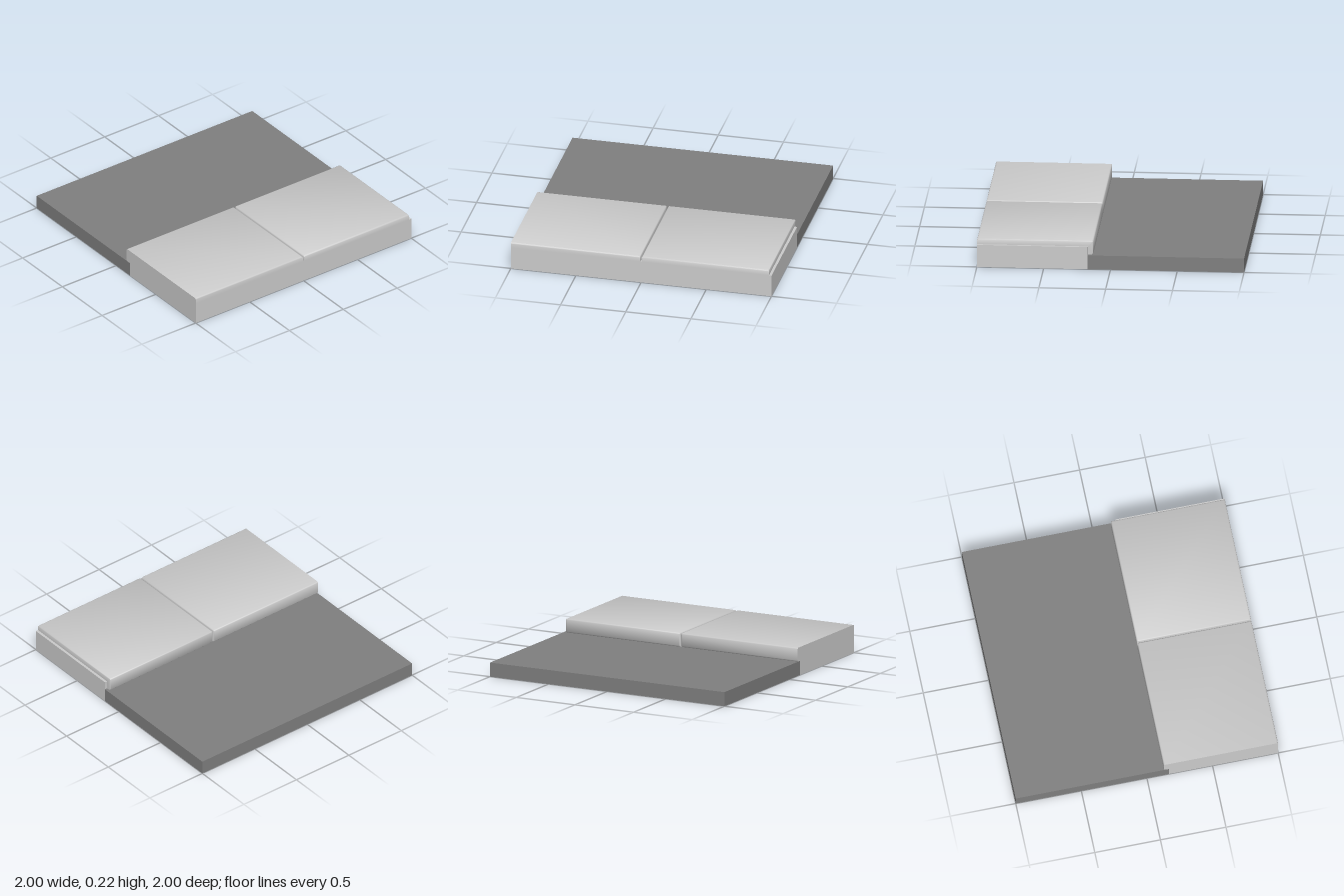
import * as THREE from 'three';
import { toCreasedNormals } from 'three/addons/utils/BufferGeometryUtils.js';

const CURB_Z = 0.17, ROAD_Y = 0.108, BASE_Y = 0.172, TOP_Y = 0.215, LIP_Z = 0.13;

// Skin a grid of points: each row has the same number of points
function loft(rows) {
  const n = rows[0].length, index = [];
  for (let i = 0; i < rows.length - 1; i++) {
    for (let j = 0; j < n - 1; j++) {
      const a = i * n + j, b = a + 1, c = a + n, d = c + 1;
      index.push(a, c, b, b, c, d);
    }
  }
  const geo = new THREE.BufferGeometry();
  geo.setAttribute('position', new THREE.Float32BufferAttribute(rows.flat(2), 3));
  geo.setIndex(index);
  geo.computeVertexNormals();
  return toCreasedNormals(geo, 0.9);
}

// Paving slab: hollow, rounded edges, with a lip hanging over the road
function slabGeometry(x0, x1, bevel0, bevel1) {
  const e = 0.01;
  // [z, y, inward z, inward y, seat z, seat y] from the front, over the top, to under the lip
  const profile = [
    [1, BASE_Y, 0, 0, 1, BASE_Y],
    [1, TOP_Y - e, 0, 0, 1, BASE_Y],
    [1 - e * 0.3, TOP_Y - e * 0.3, -0.3, -0.7, 1, BASE_Y],
    [1 - e, TOP_Y, 0, -1, 1 - e, BASE_Y],
    [LIP_Z + e, TOP_Y, 0, -1, CURB_Z, BASE_Y],
    [LIP_Z + e * 0.3, TOP_Y - e * 0.3, 0.7, -0.7, CURB_Z, BASE_Y],
    [LIP_Z, TOP_Y - e, 1, 0, CURB_Z, BASE_Y],
    [LIP_Z, ROAD_Y + e, 1, 0, CURB_Z, ROAD_Y + e],
    [LIP_Z + e, ROAD_Y, 0, 0, CURB_Z, ROAD_Y],
    [CURB_Z, ROAD_Y, 0, 0, CURB_Z, ROAD_Y],
  ];
  const seat = (x) => profile.map((p) => [x, p[5], p[4]]);
  const ring = (x, inset) => profile.map((p) => [x, p[1] + p[3] * inset, p[0] + p[2] * inset]);
  const rows = [seat(x0), ring(x0, bevel0)];
  if (bevel0) rows.push(ring(x0 + bevel0 * 0.3, bevel0 * 0.3));
  rows.push(ring(x0 + bevel0, 0), ring(x1 - bevel1, 0));
  if (bevel1) rows.push(ring(x1 - bevel1 * 0.3, bevel1 * 0.3));
  rows.push(ring(x1, bevel1), seat(x1));
  return loft(rows);
}

export function createModel() {
  const model = new THREE.Group();
  const stone = new THREE.MeshStandardMaterial({ color: 0xcccccc, side: THREE.DoubleSide });
  const asphalt = new THREE.MeshStandardMaterial({ color: 0x7f7f7f, side: THREE.DoubleSide });

  const add = (name, geo, material, parent) => {
    const mesh = new THREE.Mesh(geo, material);
    mesh.name = name;
    parent.add(mesh);
  };
  // Flat panel from four corners, anticlockwise as seen from outside
  const panel = (name, material, parent, a, b, c, d) =>
    add(name, loft([[d, a], [c, b]]), material, parent);
  // Wall along the side x = s, from z0 to z1 and up to height h
  const sideWall = (name, material, parent, s, z0, z1, h) => {
    const corners = [[s, 0, z1], [s, 0, z0], [s, h, z0], [s, h, z1]];
    panel(name, material, parent, ...(s > 0 ? corners : corners.reverse()));
  };

  // Road: open underneath, closed at the back and the sides
  const road = new THREE.Group();
  road.name = 'road';
  model.add(road);
  panel('roadSurface', asphalt, road,
    [-1, ROAD_Y, CURB_Z], [1, ROAD_Y, CURB_Z], [1, ROAD_Y, -1], [-1, ROAD_Y, -1]);
  panel('roadBack', asphalt, road, [1, 0, -1], [-1, 0, -1], [-1, ROAD_Y, -1], [1, ROAD_Y, -1]);

  // Sidewalk base walls
  const sidewalk = new THREE.Group();
  sidewalk.name = 'sidewalk';
  model.add(sidewalk);
  panel('sidewalkFront', stone, sidewalk, [-1, 0, 1], [1, 0, 1], [1, BASE_Y, 1], [-1, BASE_Y, 1]);

  for (const s of [-1, 1]) {
    sideWall('roadSide', asphalt, road, s, -1, CURB_Z, ROAD_Y);
    sideWall('sidewalkSide', stone, sidewalk, s, CURB_Z, 1, BASE_Y);
  }

  // Joint floors beside the slabs, each with its short face down to the road
  for (const [x0, x1] of [[-0.007, 0.004], [0.98, 1]]) {
    panel('jointFloor', stone, sidewalk,
      [x0, BASE_Y, 1], [x1, BASE_Y, 1], [x1, BASE_Y, CURB_Z], [x0, BASE_Y, CURB_Z]);
    panel('jointBack', stone, sidewalk,
      [x1, ROAD_Y, CURB_Z], [x0, ROAD_Y, CURB_Z], [x0, BASE_Y, CURB_Z], [x1, BASE_Y, CURB_Z]);
  }

  // Slabs: the outer end of the first is cut flush with the edge
  add('rightSlab', slabGeometry(-1, -0.007, 0, 0.009), stone, sidewalk);
  add('leftSlab', slabGeometry(0.004, 0.98, 0.009, 0.009), stone, sidewalk);
  return model;
}
